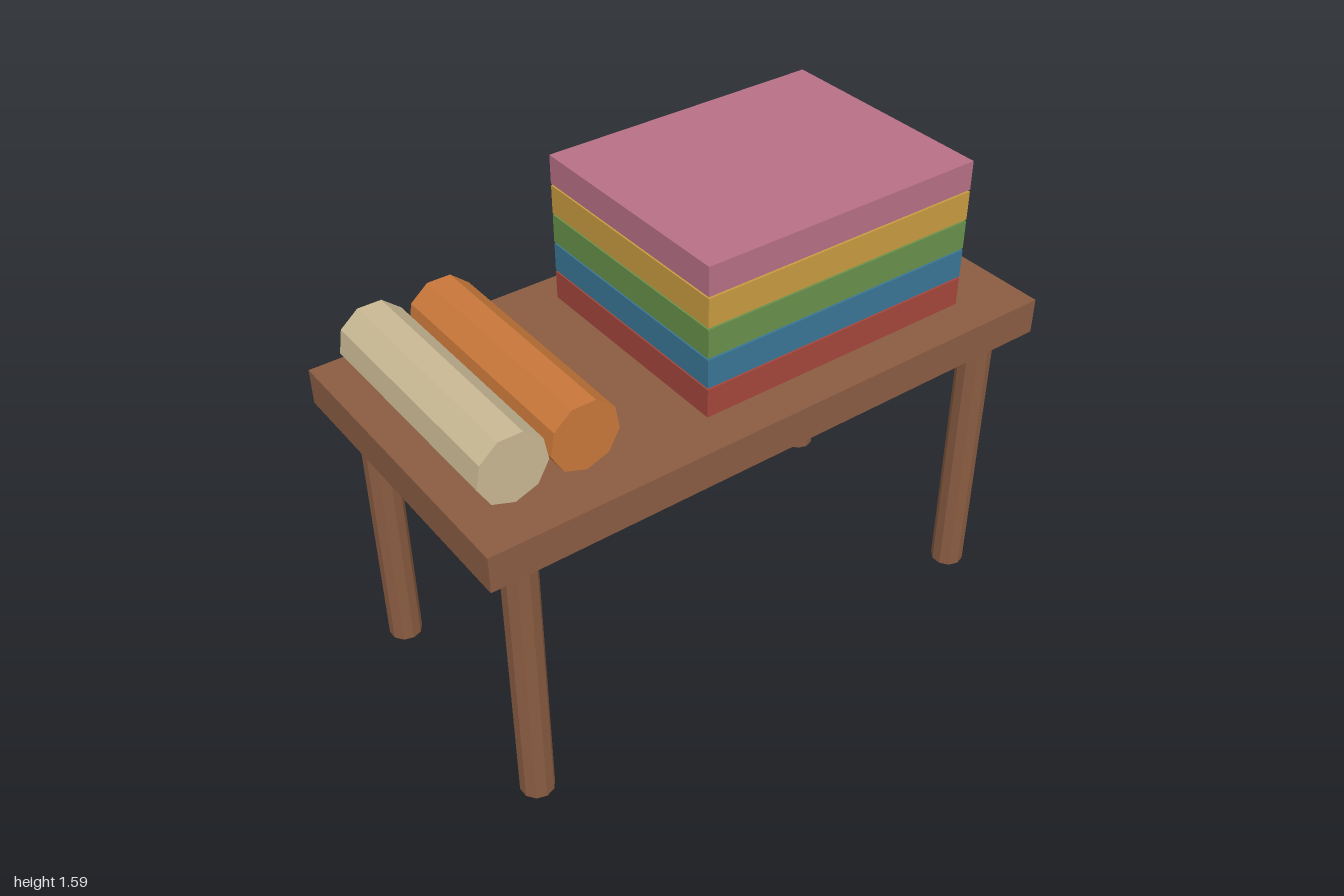
import * as THREE from 'three';

function material(name, color, flatShading = false) {
  const m = new THREE.MeshStandardMaterial({ color, flatShading });
  m.name = name;
  return m;
}

export function createModel() {
  const model = new THREE.Group();
  model.name = 'tableWithBooksAndRolls';

  function add(name, geometry, mat, x, y, z) {
    const mesh = new THREE.Mesh(geometry, mat);
    mesh.name = name;
    mesh.position.set(x, y, z);
    model.add(mesh);
    return mesh;
  }

  // Table top and four ten-sided legs
  const wood = material('brown wood', 0x8a5c42, true);
  add('tableTop', new THREE.BoxGeometry(2, 0.12, 1.02), wood, 0, 1.015, 0);
  const leg = new THREE.CylinderGeometry(0.0545, 0.0545, 0.956, 10);
  for (const x of [-1, 1]) {
    for (const z of [-1, 1]) {
      const name = (z > 0 ? 'front' : 'back') + (x > 0 ? 'Left' : 'Right') + 'Leg';
      add(name, leg, wood, x * 0.859, 0.478, z * 0.412);
    }
  }

  // Stack of books with thin gaps between them
  const book = new THREE.BoxGeometry(0.975, 0.095, 0.775);
  const bookColors = [
    ['red', 0xa4463b],
    ['blue', 0x3a7696],
    ['green', 0x68904a],
    ['yellow', 0xc99b40],
    ['pink', 0xb87086],
  ];
  bookColors.forEach(([name, color], i) => {
    add(name + 'Book', book, material(name + ' cover', color), 0.283, 1.1335 + i * 0.101, 0);
  });

  // Two nine-sided rolls lying front to back
  const roll = new THREE.CylinderGeometry(0.112, 0.112, 0.765, 9);
  roll.rotateX(Math.PI / 2);
  add('creamRoll', roll, material('cream paper', 0xc9b893, true), -0.835, 1.205, 0);
  add('orangeRoll', roll, material('orange paper', 0xc8773a, true), -0.609, 1.205, 0);

  return model;
}
